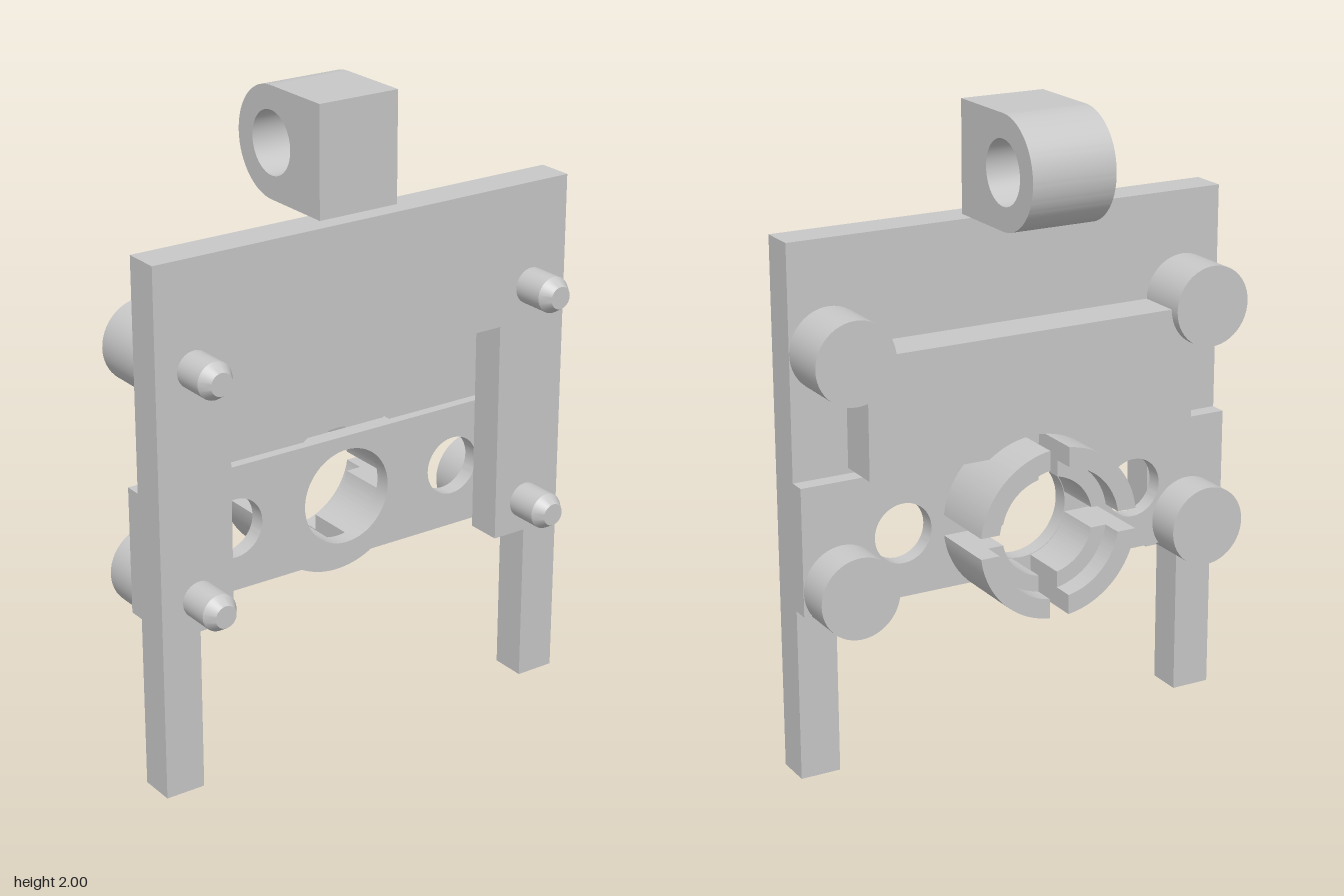
import * as THREE from 'three';
import { toCreasedNormals } from 'three/addons/utils/BufferGeometryUtils.js';

const grey = new THREE.MeshStandardMaterial({ color: 0xc7c7c7 });
grey.name = 'grey';

export function createModel() {
  const model = new THREE.Group();
  const RING_Y = 0.745;
  const RING_R = 0.266;

  function add(name, geometry, x = 0, y = 0, z = 0) {
    const mesh = new THREE.Mesh(geometry, grey);
    mesh.name = name;
    mesh.position.set(x, y, z);
    model.add(mesh);
    return mesh;
  }
  // Extrusion with smooth curves and sharp edges
  function extrude(shape, depth) {
    const g = new THREE.ExtrudeGeometry(shape, { depth, bevelEnabled: false, curveSegments: 32 });
    return toCreasedNormals(g, 0.5);
  }
  function polygon(points) {
    return new THREE.Shape(points.map(([x, y]) => new THREE.Vector2(x, y)));
  }
  function hole(shape, x, y, r) {
    const path = new THREE.Path();
    path.absarc(x, y, r, 0, Math.PI * 2, true);
    shape.holes.push(path);
  }

  // Front frame with stepped legs, open at the bottom
  const half = [[0.728, 1.658], [0.728, 0], [0.6, 0], [0.6, 0.515], [0.485, 0.515], [0.485, 1.22]];
  const mirrored = half.map(([x, y]) => [-x, y]).reverse();
  add('frame', extrude(polygon([...half, ...mirrored]), 0.115), 0, 0, 0.053);

  // Cross plate with a central bore and two side holes
  const plate = polygon([[-0.728, 0.544], [0.728, 0.544], [0.728, 0.943], [-0.728, 0.943]]);
  hole(plate, 0, RING_Y, 0.153);
  for (const s of [-1, 1]) hole(plate, s * 0.4, RING_Y, 0.094);
  add('crossPlate', extrude(plate, 0.053));

  // Rear block, notched around the ring
  const a = Math.asin((0.96 - RING_Y) / RING_R);
  const block = new THREE.Shape();
  block.moveTo(-0.55, 1.33);
  block.lineTo(-0.55, 0.96);
  block.absarc(0, RING_Y, RING_R, Math.PI - a, a, true);
  block.lineTo(0.55, 0.96);
  block.lineTo(0.55, 1.33);
  add('rearBlock', extrude(block, 0.141), 0, 0, -0.088);

  // Slotted ring: quarter sectors with parallel sided gaps
  function sector(inner, outer) {
    const w = 0.0325;
    const ao = Math.asin(w / outer), ai = Math.asin(w / inner);
    const s = new THREE.Shape();
    s.absarc(0, 0, outer, ao, Math.PI / 2 - ao, false);
    s.absarc(0, 0, inner, Math.PI / 2 - ai, ai, true);
    return s;
  }
  for (let i = 0; i < 4; i++) {
    add('ringSegment', extrude(sector(0.205, RING_R), 0.23), 0, RING_Y, -0.23).rotation.z = i * Math.PI / 2;
    add('ringLip', extrude(sector(0.155, 0.205), 0.16), 0, RING_Y, -0.16).rotation.z = i * Math.PI / 2;
  }
  // Webs closing the front of the upper and lower gaps
  const web = new THREE.Shape();
  const b = Math.asin(0.0325 / RING_R), c = Math.asin(0.0325 / 0.205);
  web.absarc(0, 0, RING_R, Math.PI / 2 - b, Math.PI / 2 + b, false);
  web.absarc(0, 0, 0.205, Math.PI / 2 + c, Math.PI / 2 - c, true);
  for (const turn of [0, Math.PI]) add('ringWeb', extrude(web, 0.05), 0, RING_Y, -0.05).rotation.z = turn;

  // Rear bosses and chamfered front pins at the four corners
  const boss = new THREE.CylinderGeometry(0.127, 0.127, 0.173, 48).rotateX(Math.PI / 2);
  const pinProfile = [[0.057, 0], [0.057, 0.11], [0.035, 0.145], [0, 0.145]];
  const pin = toCreasedNormals(
    new THREE.LatheGeometry(pinProfile.map(([r, h]) => new THREE.Vector2(r, h)), 32).rotateX(Math.PI / 2), 0.5);
  for (const x of [-0.6, 0.6]) {
    for (const y of [0.619, 1.33]) {
      add('rearBoss', boss, x, y, -0.0335);
      add('frontPin', pin, x, y, 0.163);
    }
  }

  // Top lug with a rounded back and a cross hole
  const lug = new THREE.Shape();
  lug.moveTo(-0.11, 1.658);
  lug.lineTo(0.135, 1.658);
  lug.absarc(0.135, 1.829, 0.171, -Math.PI / 2, Math.PI / 2, false);
  lug.lineTo(-0.11, 2);
  hole(lug, 0.135, 1.829, 0.098);
  add('topLug', extrude(lug, 0.272).rotateY(Math.PI / 2), -0.136);

  return model;
}
